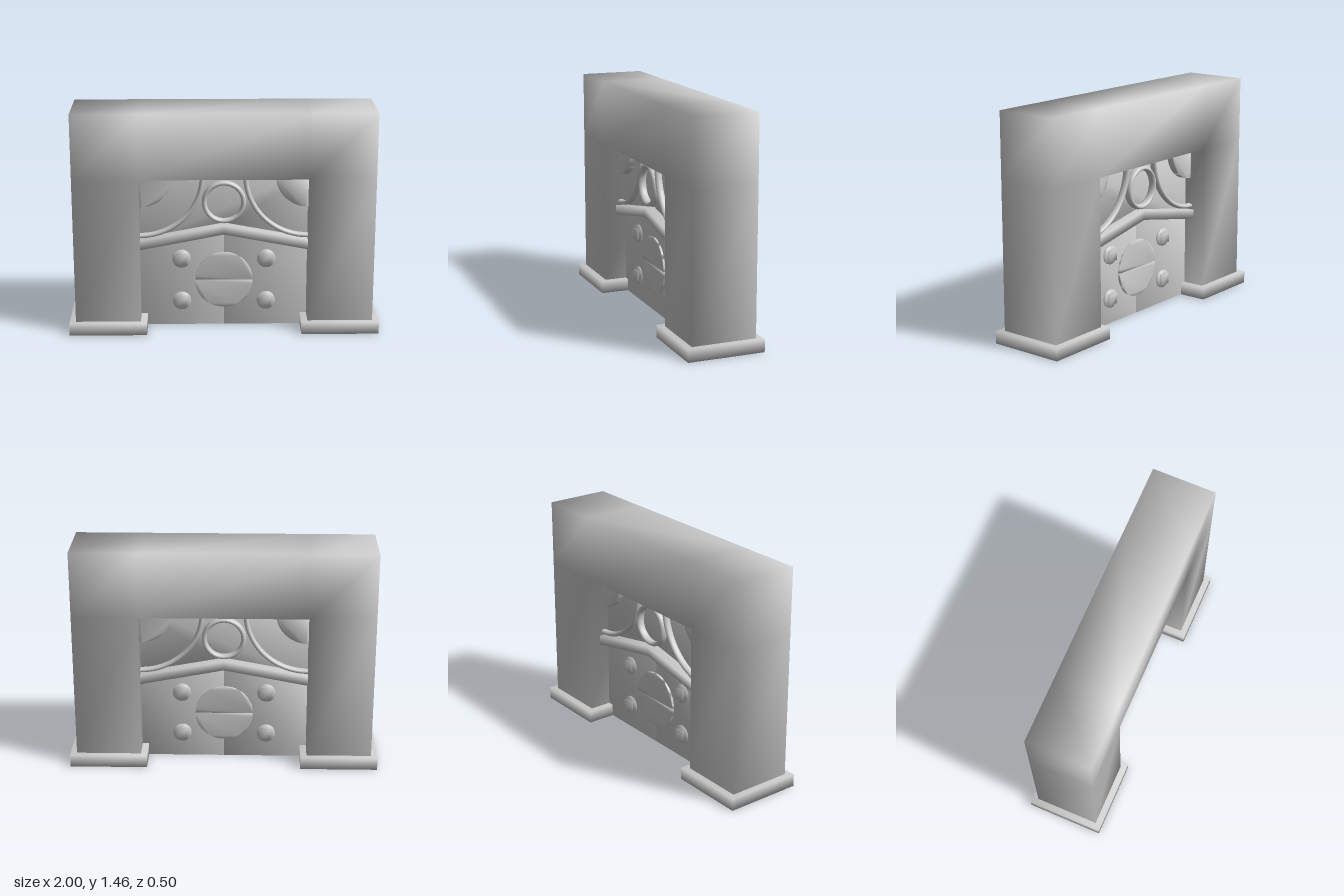
import * as THREE from 'three';
import { mergeVertices } from 'three/addons/utils/BufferGeometryUtils.js';

const stone = new THREE.MeshStandardMaterial({ color: 0xcccccc });
stone.name = 'grey stone';

// Share the corner vertices so shading runs smoothly over the edges
function soften(geometry) {
  geometry.deleteAttribute('uv');
  geometry.deleteAttribute('normal');
  const g = mergeVertices(geometry, 1e-4);
  g.computeVertexNormals();
  return g;
}

function add(parent, name, geometry, x = 0, y = 0, z = 0) {
  const mesh = new THREE.Mesh(geometry, stone);
  mesh.name = name;
  mesh.position.set(x, y, z);
  parent.add(mesh);
  return mesh;
}

// Outline in x/y extruded from z0 to z1
function slab(points, z0, z1) {
  const shape = new THREE.Shape(points.map(([x, y]) => new THREE.Vector2(x, y)));
  const g = new THREE.ExtrudeGeometry(shape, { depth: z1 - z0, bevelEnabled: false });
  return soften(g.translate(0, 0, z0));
}

// Pie-slice outline
function sector(cx, cy, r, from, to, steps, closeAtCentre) {
  const pts = closeAtCentre ? [[cx, cy]] : [];
  for (let i = 0; i <= steps; i++) {
    const a = from + (to - from) * i / steps;
    pts.push([cx + r * Math.cos(a), cy + r * Math.sin(a)]);
  }
  return pts;
}

// Portal frame: a grid of cells with the opening left out
function frameGeometry() {
  const xs = [-0.96, -0.54, 0.54, 0.96], ys = [0.08, 1.03, 1.455], d = 0.21;
  const solid = (i, j) => i >= 0 && i < 3 && j >= 0 && j < 2 && !(i === 1 && j === 0);
  const pos = [];
  const quad = (a, b, c, e) => pos.push(...a, ...b, ...c, ...a, ...c, ...e);
  for (let i = 0; i < 3; i++) for (let j = 0; j < 2; j++) {
    if (!solid(i, j)) continue;
    const x0 = xs[i], x1 = xs[i + 1], y0 = ys[j], y1 = ys[j + 1];
    quad([x0, y0, d], [x1, y0, d], [x1, y1, d], [x0, y1, d]);
    quad([x1, y0, -d], [x0, y0, -d], [x0, y1, -d], [x1, y1, -d]);
    if (!solid(i - 1, j)) quad([x0, y0, -d], [x0, y0, d], [x0, y1, d], [x0, y1, -d]);
    if (!solid(i + 1, j)) quad([x1, y0, d], [x1, y0, -d], [x1, y1, -d], [x1, y1, d]);
    if (!solid(i, j + 1)) quad([x0, y1, d], [x1, y1, d], [x1, y1, -d], [x0, y1, -d]);
    if (!solid(i, j - 1)) quad([x0, y0, -d], [x1, y0, -d], [x1, y0, d], [x0, y0, d]);
  }
  const g = new THREE.BufferGeometry();
  g.setAttribute('position', new THREE.Float32BufferAttribute(pos, 3));
  return soften(g);
}

// Raised ornaments for one face of the gate
function faceOrnaments() {
  const face = new THREE.Group();
  face.name = 'faceOrnaments';

  // Central lock, split into two half discs
  add(face, 'lockUpperHalf', slab(sector(0, 0.315, 0.187, 0, Math.PI, 24, false), 0.03, 0.075));
  add(face, 'lockLowerHalf', slab(sector(0, 0.313, 0.187, Math.PI, 2 * Math.PI, 24, false), 0.03, 0.075));

  // Ring above the doors
  add(face, 'ring', new THREE.TorusGeometry(0.126, 0.016, 12, 48), 0, 0.853, 0.098).scale.z = 1.7;

  for (const s of [-1, 1]) {
    // Bolts: a round washer with a square head
    for (const y of [0.17, 0.46]) {
      const washer = new THREE.CylinderGeometry(0.06, 0.06, 0.03, 24).rotateX(Math.PI / 2);
      add(face, 'boltWasher', soften(washer), s * 0.275, y, 0.063);
      add(face, 'boltHead', soften(new THREE.BoxGeometry(0.068, 0.068, 0.05)), s * 0.275, y, 0.073);
    }
    // Quarter disc and quarter rib in each upper corner
    const from = s > 0 ? Math.PI : 1.5 * Math.PI;
    add(face, 'cornerDisc', slab(sector(s * 0.54, 1.03, 0.21, from, from + Math.PI / 2, 16, true), 0.03, 0.105));
    const rib = add(face, 'cornerRib', new THREE.TorusGeometry(0.402, 0.016, 12, 32, Math.PI / 2), s * 0.54, 1.03, 0.095);
    rib.rotation.z = from;
    rib.scale.z = 1.5;
  }
  return face;
}

export function createModel() {
  const gate = new THREE.Group();
  gate.name = 'gate';

  add(gate, 'frame', frameGeometry());

  for (const s of [-1, 1]) {
    add(gate, 'pillarBase', soften(new THREE.BoxGeometry(0.5, 0.08, 0.5)), s * 0.75, 0.04, 0);
    // Door leaf with a sloping top
    add(gate, 'doorLeaf', slab([[0, 0], [s * 0.54, 0], [s * 0.54, 0.57], [0, 0.67]], -0.062, 0.062));
  }

  // Panel over the doors
  add(gate, 'upperPanel', slab([[-0.54, 0.57], [0, 0.67], [0.54, 0.57], [0.54, 1.03], [-0.54, 1.03]], -0.062, 0.062));

  // Peaked lintel between the doors and the upper panel
  add(gate, 'lintel', slab([[-0.54, 0.54], [0, 0.643], [0.54, 0.54], [0.54, 0.602], [0, 0.703], [-0.54, 0.602]], -0.13, 0.13));

  const front = faceOrnaments();
  const back = faceOrnaments();
  back.rotation.y = Math.PI;
  gate.add(front, back);

  return gate;
}
